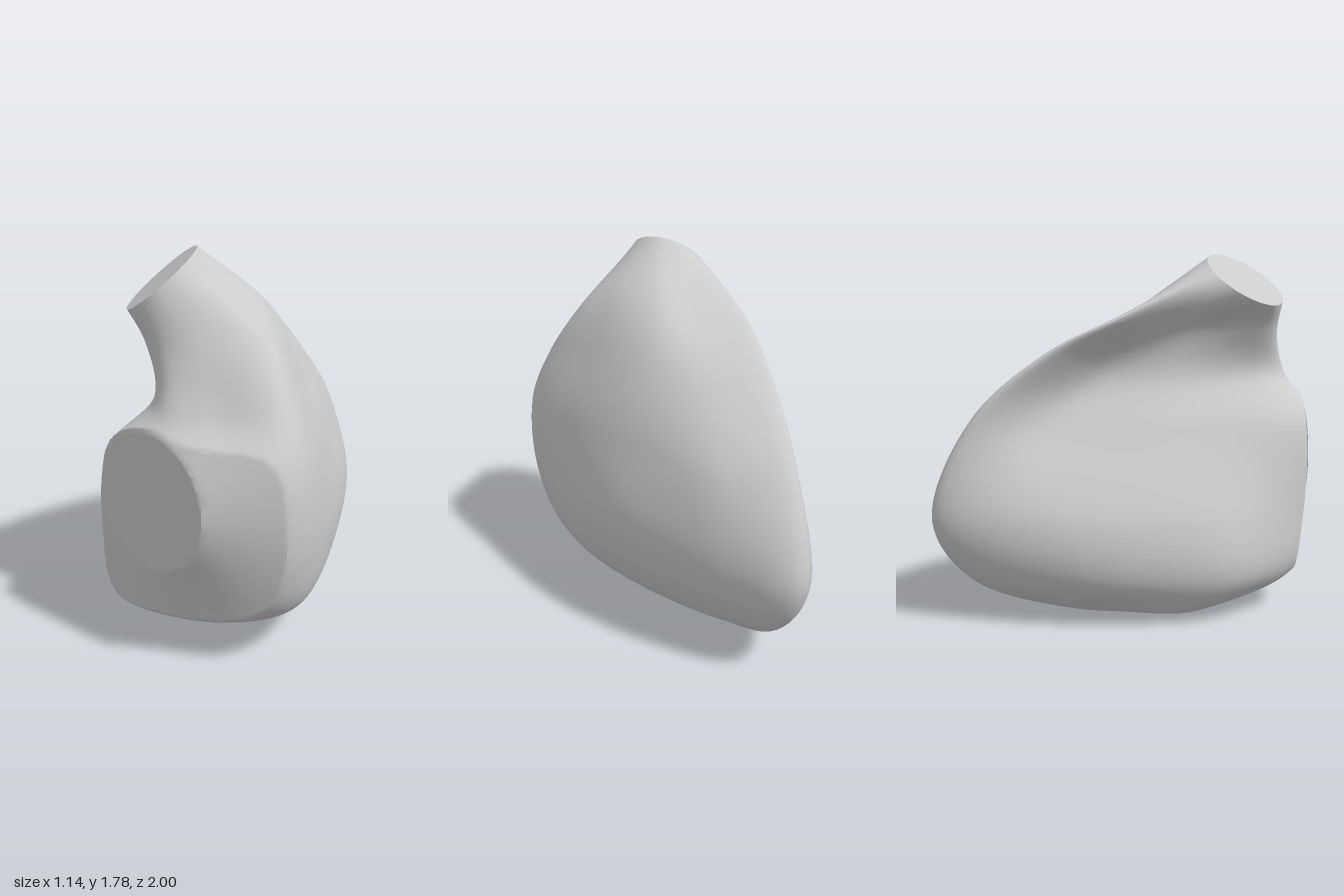
import * as THREE from 'three';
import { toCreasedNormals } from 'three/addons/utils/BufferGeometryUtils.js';

const V = (x, y, z) => new THREE.Vector3(x, y, z);
const AROUND = 180, UP = 140;

// Rails run from the underside pole up to the tilted outlet rim,
// listed clockwise from the back as seen from above.
const POLE = [-0.14, 0, -0.05];
const ridge = [[0.06, 0.03, -0.42], [0.22, 0.2, -0.83], [0.27, 0.5, -1], [0.18, 0.99, -0.83], [0, 1.3, -0.52], [-0.17, 1.48, -0.2]];
const outerBack = [[0.16, 0.05, -0.33], [0.37, 0.2, -0.6], [0.47, 0.5, -0.7], [0.42, 0.92, -0.6], [0.22, 1.25, -0.38], [0, 1.49, -0.06]];
const outerMid = [[0.18, 0.045, -0.1], [0.43, 0.18, -0.1], [0.565, 0.55, -0.12], [0.47, 0.95, -0.12], [0.32, 1.25, -0.05], [0.12, 1.53, 0.12]];
const outerFront = [[0.17, 0.045, 0.2], [0.41, 0.19, 0.4], [0.49, 0.5, 0.42], [0.44, 0.92, 0.42], [0.33, 1.22, 0.38], [0.17, 1.52, 0.38]];
const frontCorner = [[0.06, 0.045, 0.36], [0.28, 0.23, 0.76], [0.34, 0.5, 0.88], [0.34, 0.9, 0.89], [0.28, 1.17, 0.79], [0.16, 1.44, 0.64]];
const frontMid = [[-0.12, 0.04, 0.4], [-0.05, 0.2, 0.81], [-0.04, 0.46, 1.02], [-0.03, 0.92, 1.03], [0, 1.13, 0.83], [-0.06, 1.4, 0.72]];
const frontInner = [[-0.3, 0.04, 0.36], [-0.44, 0.18, 0.65], [-0.5, 0.45, 0.82], [-0.47, 0.94, 0.85], [-0.24, 1.14, 0.79], [-0.25, 1.37, 0.69]];
const innerFront = [[-0.36, 0.035, 0.2], [-0.545, 0.2, 0.42], [-0.555, 0.5, 0.52], [-0.48, 0.94, 0.56], [-0.28, 1.19, 0.56], [-0.34, 1.4, 0.52]];
const innerMid = [[-0.36, 0.04, 0], [-0.53, 0.22, 0.05], [-0.5, 0.5, 0.03], [-0.24, 0.92, 0.03], [-0.12, 1.17, 0.13], [-0.19, 1.4, 0.22]];
const innerBack = [[-0.16, 0.04, -0.25], [-0.23, 0.22, -0.45], [-0.17, 0.5, -0.55], [0.05, 0.93, -0.45], [0.04, 1.18, -0.23], [-0.13, 1.4, 0]];
const RAILS = [ridge, outerBack, outerMid, outerFront, frontCorner, frontMid, frontInner, innerFront, innerMid, innerBack];

// Outlet rim: a tilted ellipse
const rimCentre = V(-0.285, 1.655, 0.44), rimU = V(0.155, 0.125, 0), rimV = V(0.008, -0.035, 0.217);
const rimPoint = a => rimCentre.clone().addScaledVector(rimV, -Math.cos(a)).addScaledVector(rimU, Math.sin(a));

// Inlet: a flat disc cut into the front wall, its conical flank steeper toward +x
const inletCentre = V(-0.29, 0.76, 0.82), inletNormal = V(-0.57, 0, 0.82).normalize(), inletRadius = 0.3;
const inletSide = V(inletNormal.z, 0, -inletNormal.x);
function cutInlet(p) {
  const rel = p.clone().sub(inletCentre);
  const depth = rel.dot(inletNormal);
  const flat = rel.addScaledVector(inletNormal, -depth);
  const r = flat.length();
  // the flank fades out where the neck begins
  const slope = Math.max(0.15, 0.22 + 0.65 * flat.dot(inletSide) / r) * (1 - THREE.MathUtils.smoothstep(p.y, 1.1, 1.35));
  const limit = -slope * Math.max(0, r - inletRadius);
  return depth < limit ? p : flat.add(inletCentre).addScaledVector(inletNormal, limit);
}

const material = new THREE.MeshStandardMaterial({ color: 0xcccccc, side: THREE.DoubleSide });
function makeMesh(name, geometry) {
  const mesh = new THREE.Mesh(geometry, material);
  mesh.name = name;
  return mesh;
}

function indexed(points, index) {
  const g = new THREE.BufferGeometry().setFromPoints(points);
  g.setIndex(index);
  return toCreasedNormals(g, 0.6);
}

export function createModel() {
  const group = new THREE.Group();
  group.name = 'hollowChamber';
  const rails = RAILS.map((r, k) => new THREE.CatmullRomCurve3(
    [V(...POLE), ...r.map(p => V(...p)), rimPoint(k / RAILS.length * Math.PI * 2)]));

  // Wall: closed loops through the rails, from the pole to the rim
  const points = [], index = [];
  for (let j = 0; j <= UP; j++) {
    const loop = new THREE.CatmullRomCurve3(rails.map(c => c.getPoint(j / UP)), true, 'catmullrom', 0.5);
    for (let i = 0; i < AROUND; i++) {
      const p = j ? loop.getPoint(i / AROUND) : V(...POLE);
      p.y = Math.max(0, p.y);
      points.push(cutInlet(p));
    }
  }
  for (let j = 0; j < UP; j++) for (let i = 0; i < AROUND; i++) {
    const a = j * AROUND + i, b = j * AROUND + (i + 1) % AROUND, c = a + AROUND, d = b + AROUND;
    if (j) index.push(a, c, b);
    index.push(b, c, d);
  }
  group.add(makeMesh('chamberWall', indexed(points, index)));

  // Flat cover closing the outlet
  const rim = points.slice(-AROUND), fan = [];
  for (let i = 0; i < AROUND; i++) fan.push(AROUND, (i + 1) % AROUND, i);
  group.add(makeMesh('outletCover', indexed([...rim, rimCentre], fan)));

  // Flat cover on the inlet, a hair proud of the wall
  const inletCover = makeMesh('inletCover', new THREE.CircleGeometry(inletRadius, 64));
  inletCover.position.copy(inletCentre).addScaledVector(inletNormal, 0.004);
  inletCover.lookAt(inletCover.position.clone().add(inletNormal));
  group.add(inletCover);
  return group;
}
